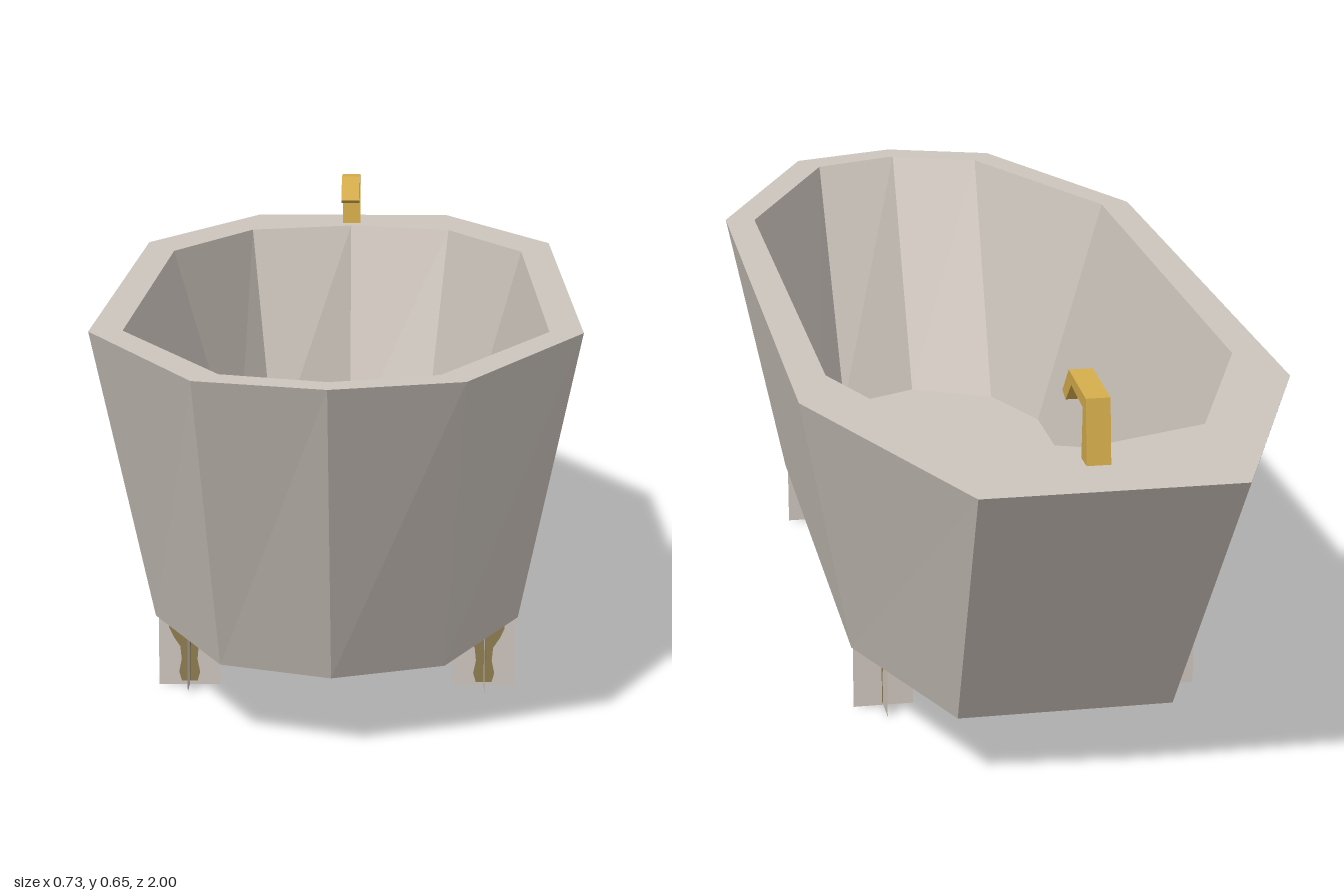
import * as THREE from 'three';

const mat = (name, color, extra = {}) =>
  Object.assign(new THREE.MeshStandardMaterial({ color, flatShading: true, ...extra }), { name });

// Closed ring from its +x half, listed front to back; first and last points lie on x = 0
function ring(y, half) {
  const left = half.map(([x, z]) => new THREE.Vector3(x, y, z));
  const right = half.slice(1, -1).reverse().map(([x, z]) => new THREE.Vector3(-x, y, z));
  return [...left, ...right];
}

// Skin over successive rings
function loft(rings) {
  const pts = [];
  const tri = (a, b, c) => { if (!a.equals(b) && !b.equals(c) && !a.equals(c)) pts.push(a, b, c); };
  for (let r = 0; r < rings.length - 1; r++) {
    const lo = rings[r], hi = rings[r + 1], n = lo.length;
    for (let i = 0; i < n; i++) {
      const j = (i + 1) % n;
      tri(lo[i], lo[j], hi[j]);
      tri(lo[i], hi[j], hi[i]);
    }
  }
  const geo = new THREE.BufferGeometry().setFromPoints(pts);
  geo.computeVertexNormals();
  return geo;
}

export function createModel() {
  const model = new THREE.Group();
  model.name = 'bathtub';
  const enamel = mat('warm white enamel', 0xcdc5bd);
  const panel = mat('leg panel white', 0xcdc5bd, { side: THREE.DoubleSide });
  const brass = mat('brass', 0xd4ac4c);
  const bronze = mat('dull bronze', 0x8f7d52, { side: THREE.DoubleSide });

  const add = (parent, name, geo, material) => {
    const mesh = new THREE.Mesh(geo, material);
    mesh.name = name;
    parent.add(mesh);
    return mesh;
  };

  // Tub: underside, outer wall, rim, inner wall, floor
  const base = 0.107, top = 0.553, floor = 0.15;
  const centre = (y) => ring(y, Array(6).fill([0, 0]));
  add(model, 'tub', loft([
    centre(base),
    ring(base, [[0, 0.8], [0.16, 0.73], [0.275, 0.45], [0.275, -0.41], [0.16, -0.7], [0, -0.7]]),
    ring(top, [[0, 1], [0.184, 0.935], [0.365, 0.51], [0.365, -0.555], [0.184, -1], [0, -1]]),
    ring(top, [[0, 0.94], [0.15, 0.88], [0.315, 0.5], [0.31, -0.43], [0.185, -0.75], [0, -0.82]]),
    ring(floor, [[0, 0.72], [0.14, 0.65], [0.2, 0.5], [0.2, -0.48], [0.14, -0.61], [0, -0.69]]),
    centre(floor),
  ]), enamel);

  // Faucet: bent spout profile (z, y) extruded across x
  const spout = new THREE.Shape([
    [-0.897, 0.55], [-0.886, 0.645], [-0.775, 0.652], [-0.735, 0.61],
    [-0.757, 0.603], [-0.793, 0.635], [-0.868, 0.627], [-0.862, 0.55],
  ].map(([z, y]) => new THREE.Vector2(-z, y)));
  const faucet = new THREE.ExtrudeGeometry(spout, { depth: 0.034, bevelEnabled: false });
  faucet.translate(0, 0, -0.017).rotateY(Math.PI / 2);
  add(model, 'faucet', faucet, brass);

  // Legs: crossed flat panels, each painted with a claw foot
  const halfFoot = [[0.012, 0.006], [0.016, 0.02], [0.012, 0.04], [0.014, 0.06],
    [0.024, 0.075], [0.031, 0.09], [0.031, 0.106]];
  const footShape = new THREE.Shape([
    ...halfFoot, ...halfFoot.map(([x, y]) => [-x, y]).reverse(),
  ].map(([x, y]) => new THREE.Vector2(x, y)));
  const footGeo = new THREE.ShapeGeometry(footShape);
  const panelGeo = new THREE.PlaneGeometry(0.093, base).translate(0, base / 2, 0);
  for (const x of [-0.224, 0.224]) {
    for (const z of [0.452, -0.393]) {
      const leg = new THREE.Group();
      leg.name = 'leg';
      leg.position.set(x, 0, z);
      for (const turn of [0, Math.PI / 2]) {
        const blade = new THREE.Group();
        blade.name = 'legBlade';
        blade.rotation.y = turn;
        add(blade, 'legPanel', panelGeo, panel);
        const claw = add(blade, 'clawFoot', footGeo, bronze);
        claw.position.z = 0.002;
        if (turn) claw.scale.x = 0.8;
        leg.add(blade);
      }
      model.add(leg);
    }
  }
  return model;
}
